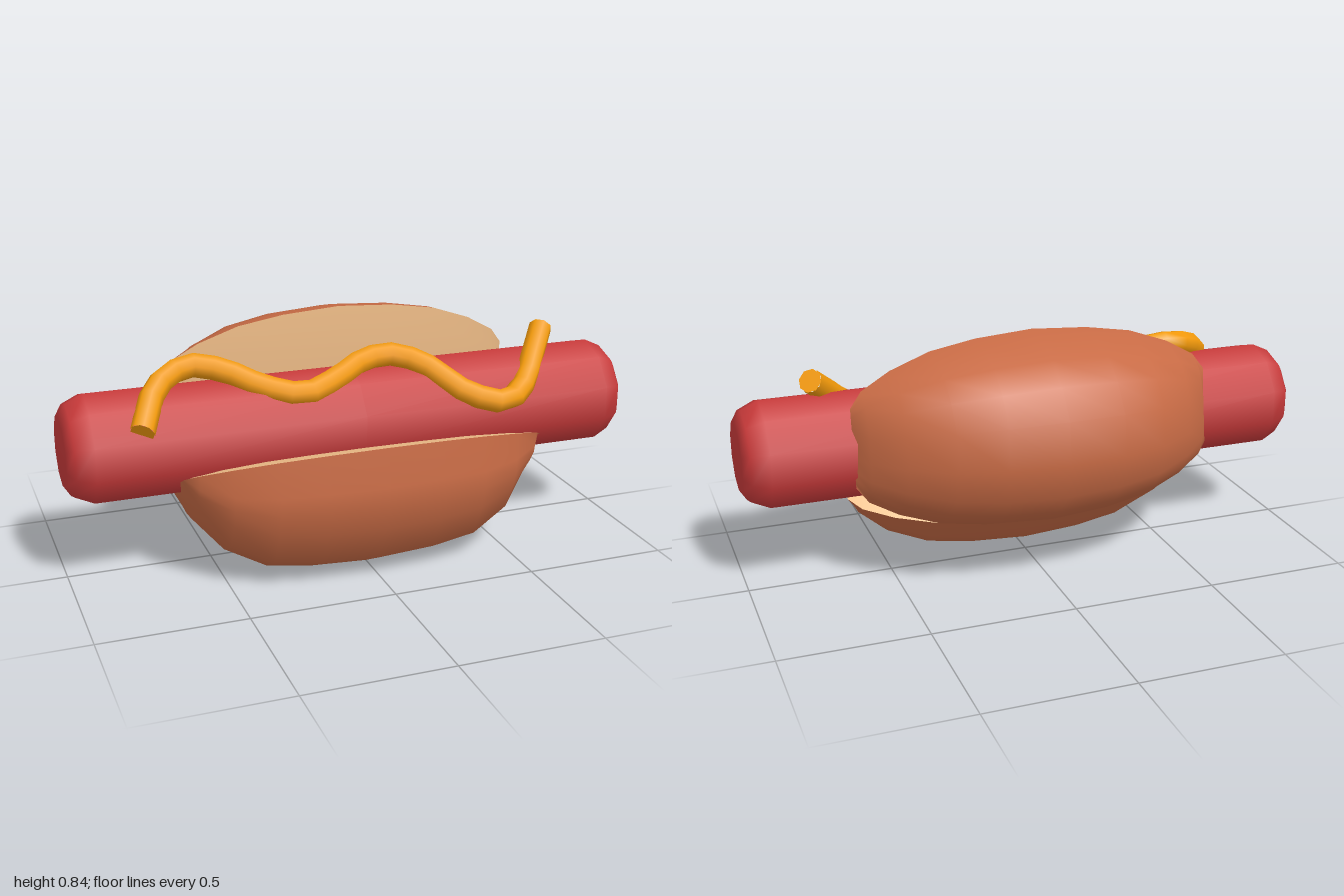
import * as THREE from 'three';

const material = (color) => new THREE.MeshStandardMaterial({ color });

function addMesh(parent, name, geometry, mat) {
  const mesh = new THREE.Mesh(geometry, mat);
  mesh.name = name;
  parent.add(mesh);
  return mesh;
}

// Smooth surface through rows of equally long point lists
function surface(rows) {
  const n = rows[0].length;
  const index = [];
  for (let i = 0; i < rows.length - 1; i++) {
    for (let j = 0; j < n - 1; j++) {
      const a = i * n + j;
      index.push(a, a + n, a + 1, a + 1, a + n, a + n + 1);
    }
  }
  const geometry = new THREE.BufferGeometry();
  geometry.setAttribute('position', new THREE.Float32BufferAttribute(rows.flat(2), 3));
  geometry.setIndex(index);
  geometry.computeVertexNormals();
  return geometry;
}

// Half a bun: the middle outline [z, y] shrinks towards both ends,
// in width along the cut and in depth away from it
function bunHalf(name, outline, depths, bulge, crustMat, crumbMat) {
  const xs = [0, 0.2, 0.36, 0.5, 0.6, 0.64];
  const widths = [1, 0.96, 0.88, 0.73, 0.56, 0.4];
  const stations = xs.map((x, i) => ({ x, w: widths[i], h: depths[i] }));
  const all = [...stations.slice(1).reverse().map((s) => ({ ...s, x: -s.x })), ...stations];

  const start = new THREE.Vector2(...outline[0]);
  const along = new THREE.Vector2(...outline[outline.length - 1]).sub(start);
  const length = along.length();
  along.normalize();
  const out = new THREE.Vector2(-along.y, along.x); // faces out of the cut

  const place = (s, t, d) => {
    const p = start.clone()
      .addScaledVector(along, length * (0.5 + (t - 0.5) * s.w))
      .addScaledVector(out, d);
    return [s.x, p.y, p.x];
  };

  const crust = all.map((s) => outline.map((q) => {
    const v = new THREE.Vector2(...q).sub(start);
    return place(s, v.dot(along) / length, v.dot(out) * s.h);
  }));
  const cut = all.map((s) => [1, 0.85, 0.65, 0.5, 0.35, 0.15, 0].map((t) =>
    place(s, t, bulge * s.h * (1 - (2 * t - 1) ** 2))));

  const group = new THREE.Group();
  group.name = name;
  addMesh(group, 'crust', surface(crust), crustMat);
  addMesh(group, 'crumb', surface(cut), crumbMat);
  return group;
}

export function createModel() {
  const model = new THREE.Group();
  model.name = 'hotDog';
  const crust = material(0xc86b45);
  const crumb = material(0xf3c08a);
  const mustardMat = material(0xf59b0b);

  // Sausage: ten-sided, with rounded ends
  const end = [[0, 1], [0.12, 1], [0.16, 0.975], [0.188, 0.915]];
  const profile = [
    ...end.map(([r, x]) => [r, -x]),
    [0.188, 0],
    ...end.slice().reverse(),
  ].map((p) => new THREE.Vector2(...p));
  const sausageGeo = new THREE.LatheGeometry(profile, 10);
  sausageGeo.rotateZ(-Math.PI / 2);
  sausageGeo.rotateX(Math.PI / 2);
  const sausage = addMesh(model, 'sausage', sausageGeo, material(0xc83a3a));
  sausage.position.set(0, 0.475, 0.047);

  // Back and front halves of the bun, meeting at the hinge below
  model.add(bunHalf('backBun', [
    [-0.06, 0.845], [-0.13, 0.835], [-0.27, 0.795], [-0.355, 0.73], [-0.425, 0.635],
    [-0.445, 0.49], [-0.41, 0.365], [-0.35, 0.29], [-0.28, 0.235], [-0.16, 0.18],
  ], [1, 0.95, 0.81, 0.54, 0.24, 0], 0.025, crust, crumb));
  model.add(bunHalf('frontBun', [
    [-0.16, 0.19], [-0.07, 0.095], [0, 0.047], [0.1, 0.015], [0.22, 0.002],
    [0.35, 0.07], [0.415, 0.2], [0.445, 0.29], [0.445, 0.36], [0.43, 0.495],
  ], [1, 0.97, 0.9, 0.68, 0.33, 0], 0.035, crust, crumb));

  // Mustard: a wavy tube with closed ends
  const path = new THREE.CatmullRomCurve3([
    [-0.76, 0.57, 0.22], [-0.68, 0.675, 0.09], [-0.56, 0.715, 0.03], [-0.45, 0.695, 0.055],
    [-0.33, 0.645, 0.12], [-0.2, 0.62, 0.165], [-0.07, 0.65, 0.125], [0.04, 0.685, 0.075],
    [0.15, 0.692, 0.067], [0.25, 0.66, 0.12], [0.37, 0.575, 0.21], [0.5, 0.54, 0.25],
    [0.59, 0.57, 0.2], [0.67, 0.645, 0.11], [0.745, 0.72, 0.02],
  ].map((p) => new THREE.Vector3(...p)));
  const mustard = new THREE.Group();
  mustard.name = 'mustard';
  model.add(mustard);
  addMesh(mustard, 'mustardLine', new THREE.TubeGeometry(path, 28, 0.041, 8), mustardMat);
  for (const [t, sign] of [[0, -1], [1, 1]]) {
    const cap = addMesh(mustard, 'mustardEnd', new THREE.CircleGeometry(0.041, 8), mustardMat);
    cap.position.copy(path.getPointAt(t));
    cap.lookAt(cap.position.clone().addScaledVector(path.getTangentAt(t), sign));
  }

  return model;
}
